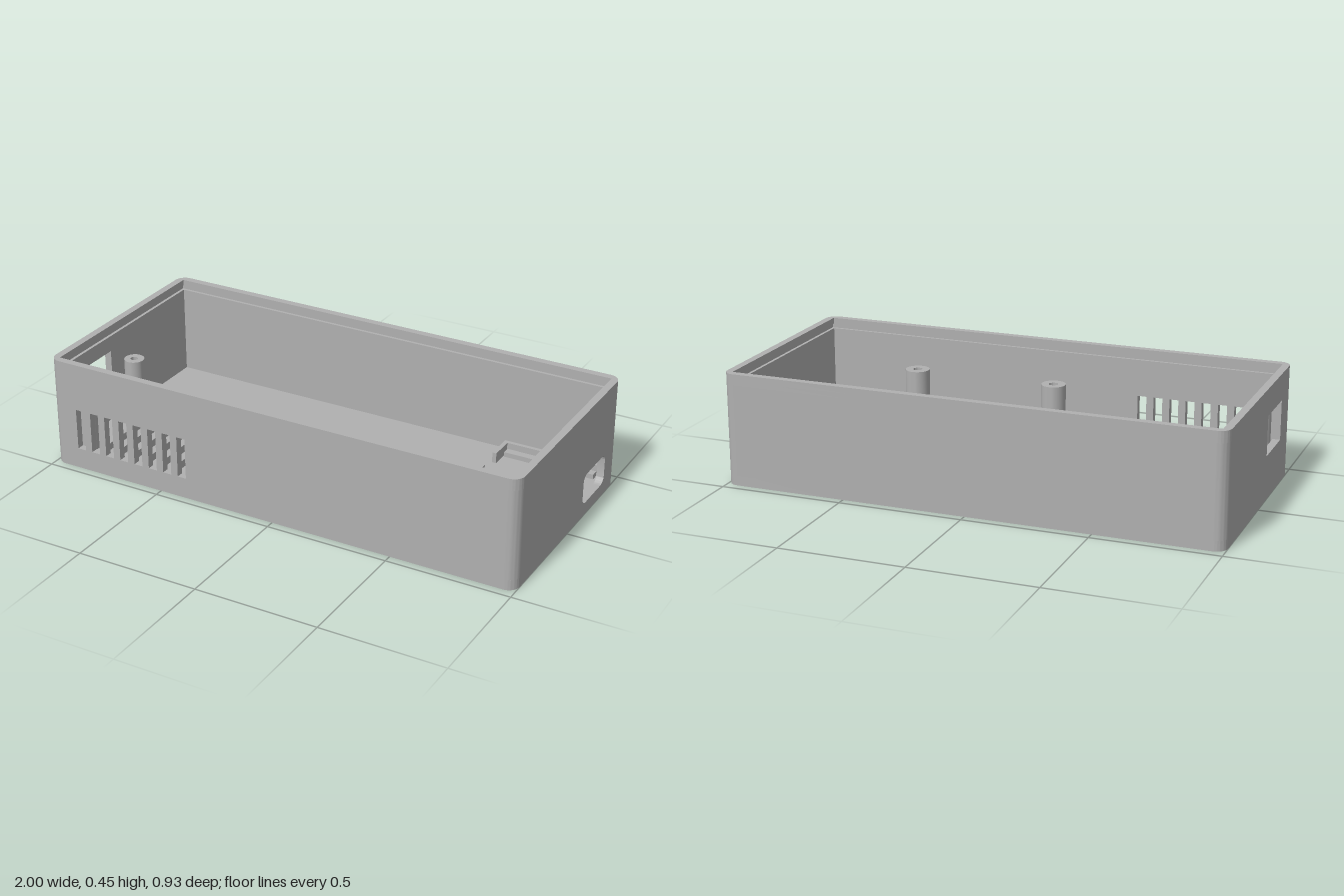
import * as THREE from 'three';
import { toCreasedNormals } from 'three/addons/utils/BufferGeometryUtils.js';

const W = 1, D = 0.467, H = 0.45;        // half width, half depth, height
const WALL = 0.03, FLOOR = 0.04, R = 0.045;
const GROOVE = [0.405, 0.425], GROOVE_WALL = 0.018;

function roundRect(x0, y0, x1, y1, r, Type = THREE.Shape) {
  const s = new Type();
  if (r === 0) {
    s.moveTo(x0, y0).lineTo(x1, y0).lineTo(x1, y1).lineTo(x0, y1).lineTo(x0, y0);
    return s;
  }
  s.moveTo(x0 + r, y0);
  s.lineTo(x1 - r, y0).absarc(x1 - r, y0 + r, r, -Math.PI / 2, 0);
  s.lineTo(x1, y1 - r).absarc(x1 - r, y1 - r, r, 0, Math.PI / 2);
  s.lineTo(x0 + r, y1).absarc(x0 + r, y1 - r, r, Math.PI / 2, Math.PI);
  s.lineTo(x0, y0 + r).absarc(x0 + r, y0 + r, r, Math.PI, Math.PI * 1.5);
  return s;
}
const hole = (x0, y0, x1, y1, r = 0) => roundRect(x0, y0, x1, y1, r, THREE.Path);

function extrude(shape, depth) {
  const g = new THREE.ExtrudeGeometry(shape, { depth, bevelEnabled: false, curveSegments: 10 });
  return toCreasedNormals(g, Math.PI / 6);
}
// Shape drawn in x/z, raised from y0 to y1
const plan = (shape, y0, y1) =>
  extrude(shape, y1 - y0).rotateX(Math.PI / 2).translate(0, y1, 0);

export function createModel() {
  const model = new THREE.Group();
  model.name = 'electronicsCase';
  const grey = new THREE.MeshStandardMaterial({ color: 0xb0b0b0 });
  grey.name = 'grey plastic';
  const add = (name, geometry, parent = model) => {
    const m = new THREE.Mesh(geometry, grey);
    m.name = name;
    parent.add(m);
    return m;
  };
  const block = (name, x0, x1, y0, y1, z0, z1, parent) =>
    add(name, new THREE.BoxGeometry(x1 - x0, y1 - y0, z1 - z0)
      .translate((x0 + x1) / 2, (y0 + y1) / 2, (z0 + z1) / 2), parent);

  // Floor with vent slots
  const floor = roundRect(-W, -D, W, D, R);
  for (let i = 0; i < 8; i++) {
    const x = -0.853 + i * 0.0665;
    floor.holes.push(hole(x, 0.03, x + 0.033, 0.36));
  }
  add('floor', plan(floor, 0, FLOOR));

  // Front wall with vent slots, plain back wall
  const top = GROOVE[0];
  const front = roundRect(-W + R, FLOOR, W - R, top, 0);
  for (let i = 0; i < 8; i++) {
    const x = -0.887 + i * 0.0668;
    front.holes.push(hole(x, 0.085, x + 0.037, 0.255));
  }
  add('frontWall', extrude(front, WALL).translate(0, 0, D - WALL));
  add('backWall', extrude(roundRect(-W + R, FLOOR, W - R, top, 0), WALL).translate(0, 0, -D));

  // Side walls, each with an opening, drawn in z/y
  const sideWall = (name, opening, outerX) => {
    const s = roundRect(-D + R, FLOOR, D - R, top, 0);
    s.holes.push(opening);
    add(name, extrude(s, WALL).rotateY(-Math.PI / 2).translate(outerX, 0, 0));
  };
  sideWall('leftWall', hole(-0.35, 0.05, -0.14, 0.175, 0.03), W);
  sideWall('rightWall', hole(0.105, 0.18, 0.317, 0.34), -W + WALL);

  // Rounded outer corners, square on the inside
  for (const sx of [-1, 1]) for (const sz of [-1, 1]) {
    const c = new THREE.Shape();
    const arc = [];
    for (let i = 0; i <= 10; i++) {
      const a = (i / 10) * Math.PI / 2;
      arc.push([W - R + R * Math.cos(a), D - R + R * Math.sin(a)]);
    }
    const pts = [[W - WALL, D - R], ...arc, [W - R, D - WALL], [W - WALL, D - WALL]];
    c.setFromPoints(pts.map(([x, z]) => new THREE.Vector2(x * sx, z * sz)));
    add('corner', plan(c, FLOOR, top));
  }

  // Lid groove and top rim
  const ring = (name, wall, y0, y1) => {
    const s = roundRect(-W, -D, W, D, R);
    s.holes.push(hole(-W + wall, -D + wall, W - wall, D - wall));
    add(name, plan(s, y0, y1));
  };
  ring('lidGroove', GROOVE_WALL, GROOVE[0], GROOVE[1]);
  ring('topRim', WALL, GROOVE[1], H);

  // Hollow screw posts
  const posts = [[-0.91, 0.03, 0.041, 0.015], [-0.91, 0.36, 0.041, 0.015],
    [-0.05, 0.36, 0.05, 0.019], [0.55, 0.36, 0.05, 0.019]];
  for (const [x, z, r, bore] of posts) {
    const profile = [[r, FLOOR], [r, 0.29], [bore, 0.29], [bore, FLOOR]]
      .map(([a, b]) => new THREE.Vector2(a, b));
    const g = toCreasedNormals(new THREE.LatheGeometry(profile, 32), Math.PI / 6);
    add('screwPost', g.translate(x, 0, z));
  }

  // Mirrored cradle for a small board behind the port
  const mid = -0.25;
  for (const s of [-1, 1]) {
    const cradle = new THREE.Group();
    cradle.name = s < 0 ? 'backCradle' : 'frontCradle';
    model.add(cradle);
    const part = (name, x0, x1, y1, a, b) =>
      block(name, x0, x1, FLOOR, y1, mid + Math.min(a * s, b * s), mid + Math.max(a * s, b * s), cradle);
    part('cradleRail', 0.55, 0.95, 0.083, 0.156, 0.172);
    part('cradleStop', 0.55, 0.567, 0.083, 0.053, 0.156);
    part('cradleLedge', 0.571, 0.95, 0.06, 0.118, 0.15);
  }
  return model;
}
